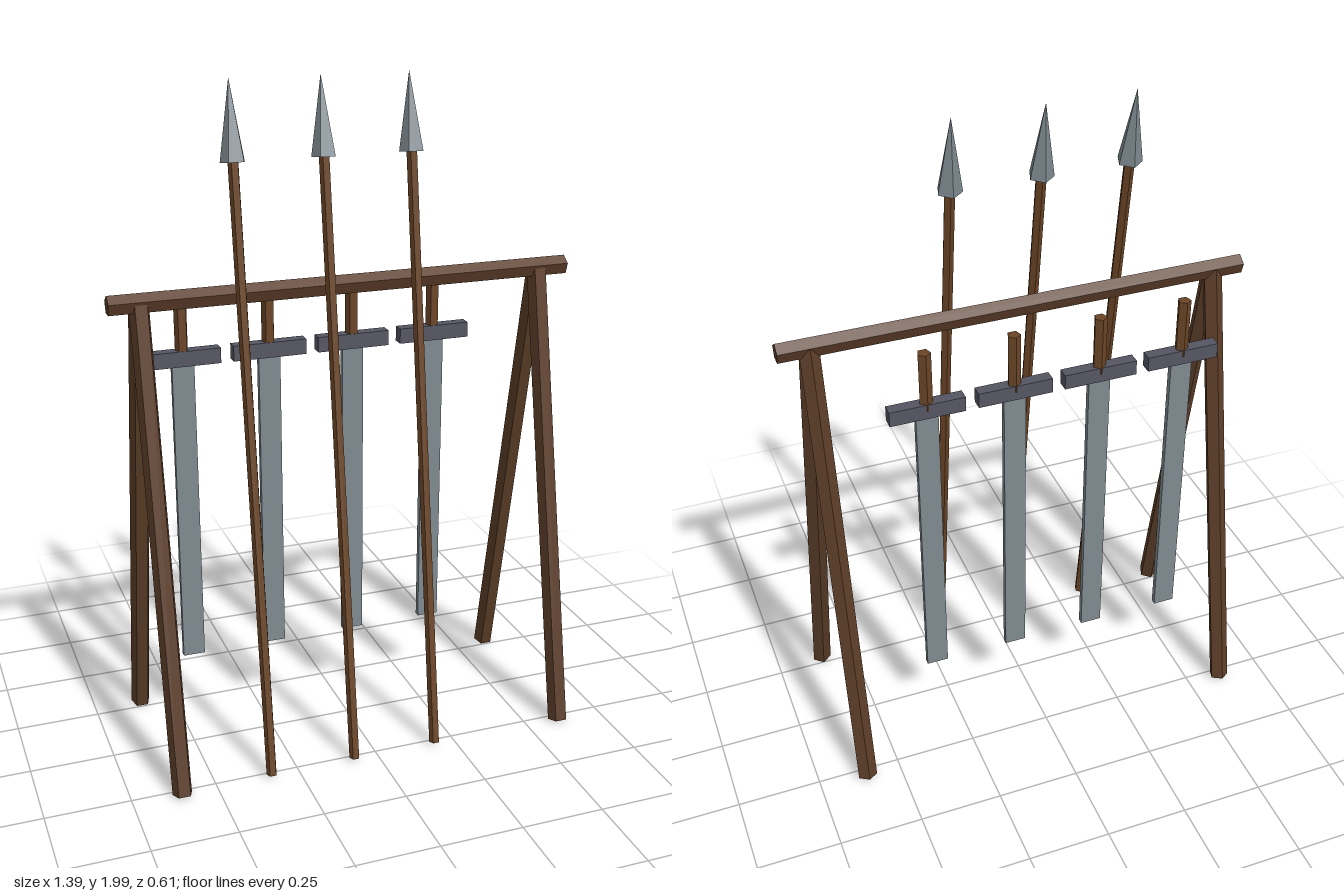
import * as THREE from 'three';

const paint = (color) => new THREE.MeshStandardMaterial({ color, flatShading: true });

export function createModel() {
  const model = new THREE.Group();
  const wood = paint(0x5c3d28), shaftWood = paint(0x6b4526);
  const steel = paint(0x7f8a90), darkSteel = paint(0x555662);

  const add = (parent, name, geometry, material) => {
    const mesh = new THREE.Mesh(geometry, material);
    mesh.name = name;
    parent.add(mesh);
    return mesh;
  };

  // Five-sided rod between two [y, z] points at a given x, ridge to the rear
  const rod = (parent, name, x, [y0, z0], [y1, z1], rBottom, rTop, material) => {
    const length = Math.hypot(y1 - y0, z1 - z0);
    const geometry = new THREE.CylinderGeometry(rTop, rBottom, length, 5, 1, false, Math.PI);
    const mesh = add(parent, name, geometry, material);
    mesh.position.set(x, (y0 + y1) / 2, (z0 + z1) / 2);
    mesh.rotation.x = Math.atan2(z1 - z0, y1 - y0);
    return mesh;
  };

  // A-frame legs
  for (const x of [-0.605, 0.605]) {
    rod(model, 'frontLeg', x, [0.006, 0.278], [1.4, 0], 0.03, 0.03, wood);
    rod(model, 'backLeg', x, [0.006, -0.278], [1.4, 0], 0.03, 0.03, wood);
  }

  // Top rail, ridge upwards
  const rail = new THREE.CylinderGeometry(0.029, 0.029, 1.39, 5, 1, false, Math.PI);
  rail.rotateZ(Math.PI / 2).rotateX(Math.PI / 2);
  add(model, 'topRail', rail, wood).position.y = 1.4;

  // Spears leaning on the front of the rail
  const leanZ = (y) => 0.276 - 0.1405 * y;
  for (let i = 0; i < 3; i++) {
    const spear = new THREE.Group();
    spear.name = 'spear';
    spear.position.x = -0.335 + i * 0.26;
    rod(spear, 'spearShaft', 0, [0.01, leanZ(0.01)], [1.78, leanZ(1.78)], 0.016, 0.016, shaftWood);
    rod(spear, 'spearHead', 0, [1.774, leanZ(1.774)], [1.995, leanZ(1.995)], 0.037, 0, steel);
    model.add(spear);
  }

  // Swords hanging point down behind the rail
  for (let i = 0; i < 4; i++) {
    const sword = new THREE.Group();
    sword.name = 'sword';
    sword.position.set(-0.465 + i * 0.26, 0, -0.109);
    add(sword, 'blade', new THREE.BoxGeometry(0.066, 0.95, 0.018), steel).position.y = 0.715;
    add(sword, 'crossguard', new THREE.BoxGeometry(0.222, 0.046, 0.036), darkSteel).position.y = 1.197;
    rod(sword, 'grip', 0, [1.2, 0], [1.38, 0], 0.02, 0.02, shaftWood);
    model.add(sword);
  }

  return model;
}
